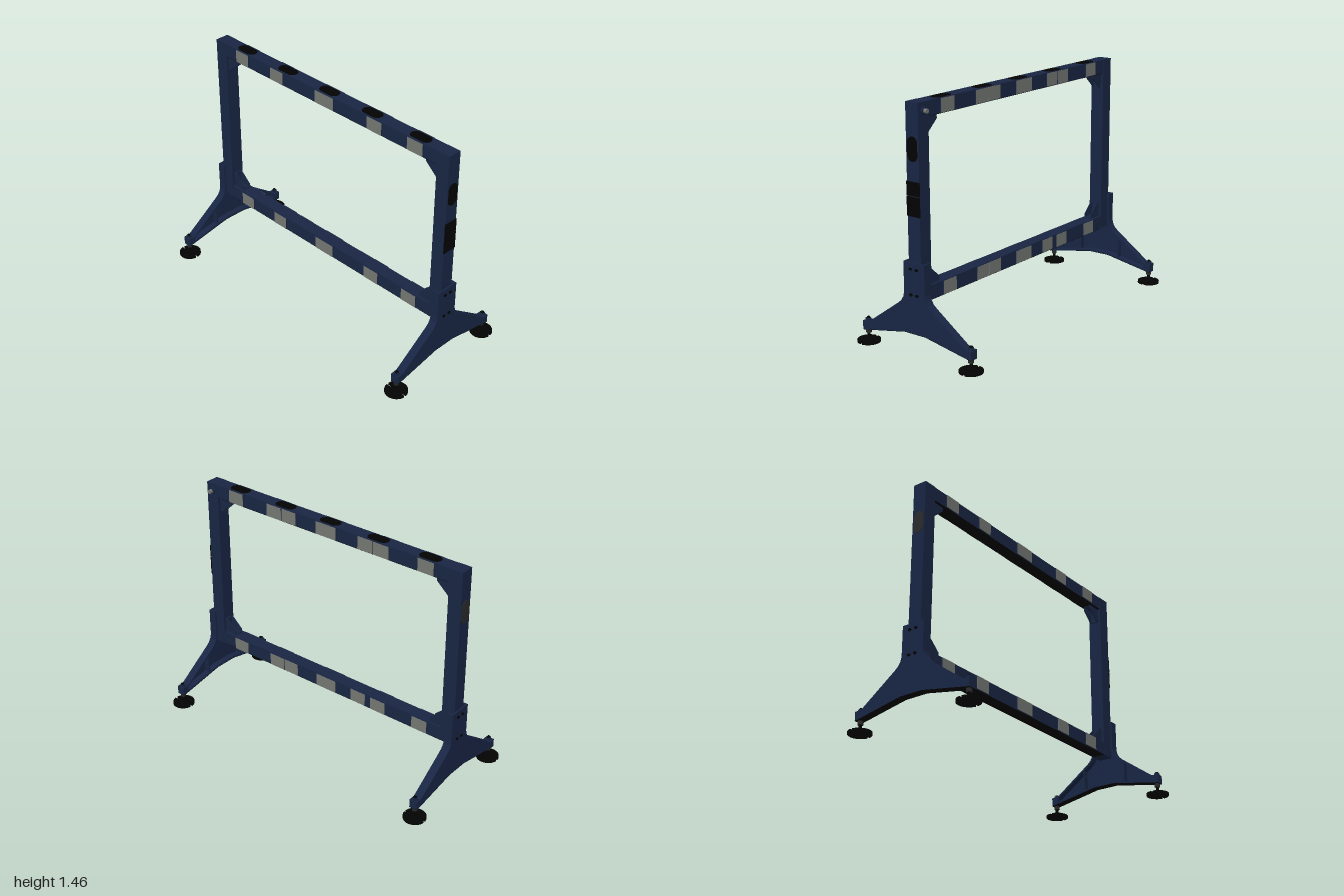
import * as THREE from 'three';

const mat = (name, color) => {
  const m = new THREE.MeshStandardMaterial({ color });
  m.name = name;
  return m;
};

export function createModel() {
  const navy = mat('navy paint', 0x182543);
  const black = mat('black rubber', 0x030303);
  const grey = mat('grey label', 0x747672);
  const darkGrey = mat('dark grey', 0x2a2a2a);
  const model = new THREE.Group();

  const add = (parent, name, geo, material, x = 0, y = 0, z = 0) => {
    const m = new THREE.Mesh(geo, material);
    m.name = name;
    m.position.set(x, y, z);
    parent.add(m);
    return m;
  };
  const box = (w, h, d) => new THREE.BoxGeometry(w, h, d);
  const cyl = (r, h, n = 20) => new THREE.CylinderGeometry(r, r, h, n);
  const poly = pts => new THREE.Shape(pts.map(p => new THREE.Vector2(p[0], p[1])));
  const extrude = (shape, depth) =>
    new THREE.ExtrudeGeometry(shape, { depth, bevelEnabled: false, curveSegments: 12 });
  const flip = pts => pts.map(([x, y]) => [-x, y]);

  // Rounded oval pad, upright in XY, facing +z
  const ovalGeo = (() => {
    const r = 0.035, s = 0.035;
    const shape = new THREE.Shape();
    shape.absarc(0, s, r, 0, Math.PI, false);
    shape.absarc(0, -s, r, Math.PI, Math.PI * 2, false);
    return extrude(shape, 0.005);
  })();

  // Foot disc with two narrow slots
  const discGeo = (() => {
    const R = 0.069, w = 0.007, a = Math.asin(w / R), q = Math.PI / 2;
    const shape = new THREE.Shape();
    shape.absarc(0, 0, R, -q + a, q - a, false);
    shape.lineTo(w, 0.04);
    shape.lineTo(-w, 0.04);
    shape.absarc(0, 0, R, q + a, 3 * q - a, false);
    shape.lineTo(-w, -0.04);
    shape.lineTo(w, -0.04);
    return extrude(shape, 0.014).rotateX(-Math.PI / 2);
  })();

  // Leg outline (right half, top to bottom) and inner edge of its flange
  const outer = [[0.075, 0.557], [0.075, 0.376], [0.082, 0.347], [0.097, 0.322], [0.12, 0.302],
    [0.358, 0.131], [0.4, 0.131], [0.4, 0.078], [0.38, 0.08], [0.075, 0.138]];
  const inner = [[0.063, 0.557], [0.063, 0.372], [0.071, 0.34], [0.088, 0.313], [0.113, 0.291],
    [0.355, 0.12], [0.355, 0.097], [0.073, 0.15]];
  const plateGeo = extrude(poly([...outer, ...flip(outer).reverse()]), 0.01);
  const rimGeo = extrude(poly([...outer, ...flip(outer).reverse(),
    ...flip(inner), ...[...inner].reverse()]), 0.041);
  // Thin strip along the leg's underside
  const under = outer.slice(7);
  const lower = under.map(([x, y]) => [x, y - 0.002]);
  const underGeo = extrude(poly([...under, ...flip(under).reverse(),
    ...flip(lower), ...[...lower].reverse()]), 0.051);

  // Both ends: post, leg and levelling feet
  for (const side of [1, -1]) {
    const end = new THREE.Group();
    end.name = side > 0 ? 'frontEnd' : 'backEnd';
    end.rotation.y = side > 0 ? 0 : Math.PI;
    model.add(end);

    add(end, 'post', box(0.088, 1.13, 0.086), navy, 0, 0.891, 0.903);
    add(end, 'legPlate', plateGeo, navy, 0, 0, 0.947);
    add(end, 'legFlange', rimGeo, navy, 0, 0, 0.906);
    add(end, 'legUnderside', underGeo, black, 0, 0, 0.906);
    add(end, 'postPad', ovalGeo, side > 0 ? black : darkGrey, 0, 1.198, 0.944);

    for (const s of [1, -1]) {
      add(end, 'legRib', box(0.01, 0.15, 0.036), navy, s * 0.15, 0.198, 0.929);
      for (const y of [0.368, 0.519])
        add(end, 'legBolt', cyl(0.011, 0.008, 12).rotateX(Math.PI / 2).scale(1, 0.75, 1),
          black, s * 0.022, y, 0.959);

      const foot = new THREE.Group();
      foot.name = 'levellingFoot';
      foot.position.set(s * 0.38, 0, 0.932);
      end.add(foot);
      add(foot, 'footDisc', discGeo, black);
      add(foot, 'footHub', cyl(0.034, 0.014), black, 0, 0.02, 0);
      add(foot, 'footStem', cyl(0.01, 0.13, 12), black, 0, 0.087, 0);
      add(foot, 'lowerNut', cyl(0.017, 0.022, 6), darkGrey, 0, 0.066, 0);
      add(foot, 'upperNut', cyl(0.017, 0.014, 6), navy, 0, 0.138, 0);
    }
  }

  // Long beams: side labels are a grey face on a navy backing
  const addLabel = (s, y, z, len, thick) => {
    add(model, 'labelBacking', box(thick, 0.08, len), navy, s * (0.042 + thick / 2), y, z);
    add(model, 'beamLabel', box(0.001, 0.08, len), grey, s * (0.0425 + thick), y, z);
  };
  const labels = [[0.703, 0.113], [0.398, 0.113], [0, 0.15], [-0.4, 0.108], [-0.706, 0.108]];
  for (const y of [1.413, 0.3685]) {
    const top = y > 1;
    add(model, top ? 'topBeam' : 'bottomBeam', box(0.084, 0.085, 1.724), navy, 0, y, 0);
    add(model, 'beamUnderside', box(0.084, 0.002, 1.72), black, 0, y - 0.0435, 0);
    for (const s of [1, -1])
      for (const [z, len] of labels) addLabel(s, y, z, len, 0.006);
    for (const z of [0.284, top ? -0.286 : -0.249]) addLabel(1, y, z, 0.108, 0.004);
  }

  // Oval pads along the top beam
  for (const z of [-0.705, -0.347, 0, 0.342, 0.705])
    add(model, 'topPad', ovalGeo, black, 0, 1.4525, z).rotation.x = -Math.PI / 2;

  // Labels on the front post
  add(model, 'postLabelLower', box(0.092, 0.112, 0.006), black, 0, 0.876, 0.947);
  add(model, 'postLabelUpper', box(0.092, 0.08, 0.006), black, 0, 0.977, 0.947);

  // Corner brackets: two cheeks and two base plates
  const cheek = extrude(poly([[0, 0], [0, -0.095], [0.015, -0.095], [0.09, -0.028], [0.09, 0]]), 0.006)
    .rotateY(Math.PI / 2);
  for (const top of [true, false])
    for (const front of [true, false]) {
      const b = new THREE.Group();
      b.name = 'cornerBracket';
      b.position.set(0, top ? 1.3705 : 0.411, front ? 0.86 : -0.86);
      b.rotation.set(0, front ? 0 : Math.PI, top ? 0 : Math.PI);
      model.add(b);
      add(b, 'bracketCheek', cheek, navy, 0.02);
      add(b, 'bracketCheek', cheek, navy, -0.026);
      add(b, 'bracketBase', box(0.05, 0.008, 0.09), navy, 0, -0.004, -0.045);
      add(b, 'bracketBack', box(0.05, 0.095, 0.008), navy, 0, -0.0475, -0.004);
    }

  // Small knob on the side of the front post
  add(model, 'knobFlange', cyl(0.022, 0.012).rotateZ(Math.PI / 2), navy, 0.05, 1.408, 0.902);
  add(model, 'knob', cyl(0.013, 0.02, 16).rotateZ(Math.PI / 2), grey, 0.065, 1.408, 0.902);

  return model;
}
